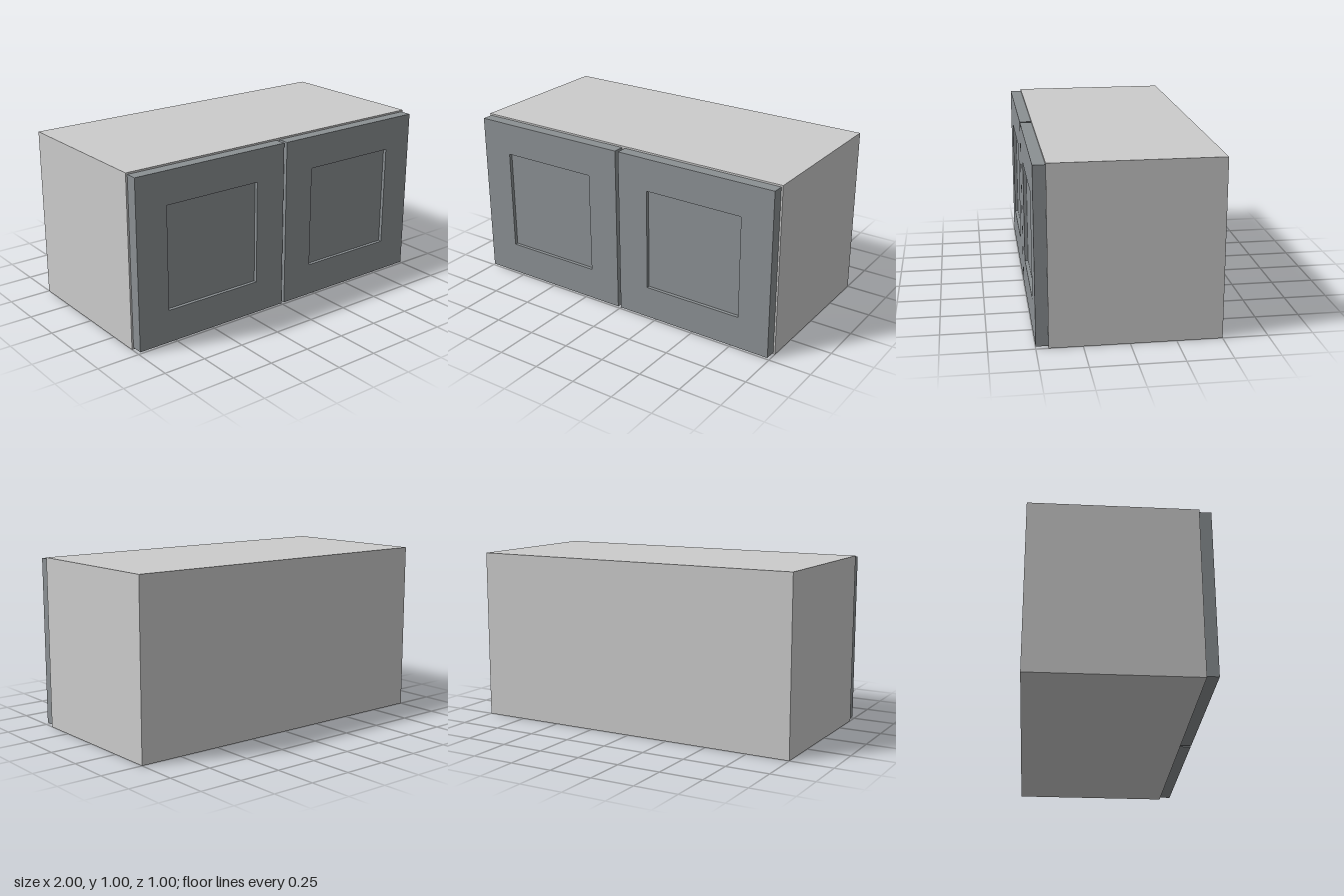
import * as THREE from 'three';

const bodyMaterial = new THREE.MeshStandardMaterial({ color: 0xcccccc });
const doorMaterial = new THREE.MeshStandardMaterial({ color: 0x8b9093 });

const T = 0.06; // board thickness
const BACK = -0.5, FRONT = 0.433; // carcass depth range
const DOOR_FRONT = 0.5, RECESS = 0.02;

// Box given by its lower and upper corners
function board(name, [x0, y0, z0], [x1, y1, z1], material = bodyMaterial) {
  const mesh = new THREE.Mesh(new THREE.BoxGeometry(x1 - x0, y1 - y0, z1 - z0), material);
  mesh.position.set((x0 + x1) / 2, (y0 + y1) / 2, (z0 + z1) / 2);
  mesh.name = name;
  return mesh;
}

function rectangle(path, x0, y0, x1, y1) {
  path.moveTo(x0, y0);
  path.lineTo(x1, y0);
  path.lineTo(x1, y1);
  path.lineTo(x0, y1);
  path.closePath();
  return path;
}

// Framed door with a recessed centre panel
function createDoor(name, centreX) {
  const door = new THREE.Group();
  door.name = name;
  const shape = rectangle(new THREE.Shape(), -0.49, 0.01, 0.49, 0.99);
  shape.holes.push(rectangle(new THREE.Path(), -0.3, 0.2, 0.3, 0.8));
  const frame = new THREE.Mesh(
    new THREE.ExtrudeGeometry(shape, { depth: DOOR_FRONT - FRONT, bevelEnabled: false }),
    doorMaterial
  );
  frame.name = 'doorFrame';
  frame.position.z = FRONT;
  door.add(frame, board('doorPanel', [-0.3, 0.2, FRONT], [0.3, 0.8, DOOR_FRONT - RECESS], doorMaterial));
  door.position.x = centreX;
  return door;
}

export function createModel() {
  const cabinet = new THREE.Group();
  cabinet.name = 'cabinet';
  const inner = 1 - T;

  // Carcass
  cabinet.add(
    board('leftSide', [inner, 0, BACK], [1, 1, FRONT]),
    board('rightSide', [-1, 0, BACK], [-inner, 1, FRONT]),
    board('backPanel', [-inner, 0, BACK], [inner, 1, BACK + T])
  );

  // Horizontal boards between the sides
  for (const [name, y] of [['bottomPanel', 0], ['shelf', 0.47], ['topPanel', 1 - T]]) {
    cabinet.add(board(name, [-inner, y, BACK + T], [inner, y + T, FRONT]));
  }

  // Doors
  cabinet.add(createDoor('leftDoor', 0.5), createDoor('rightDoor', -0.5));
  return cabinet;
}
